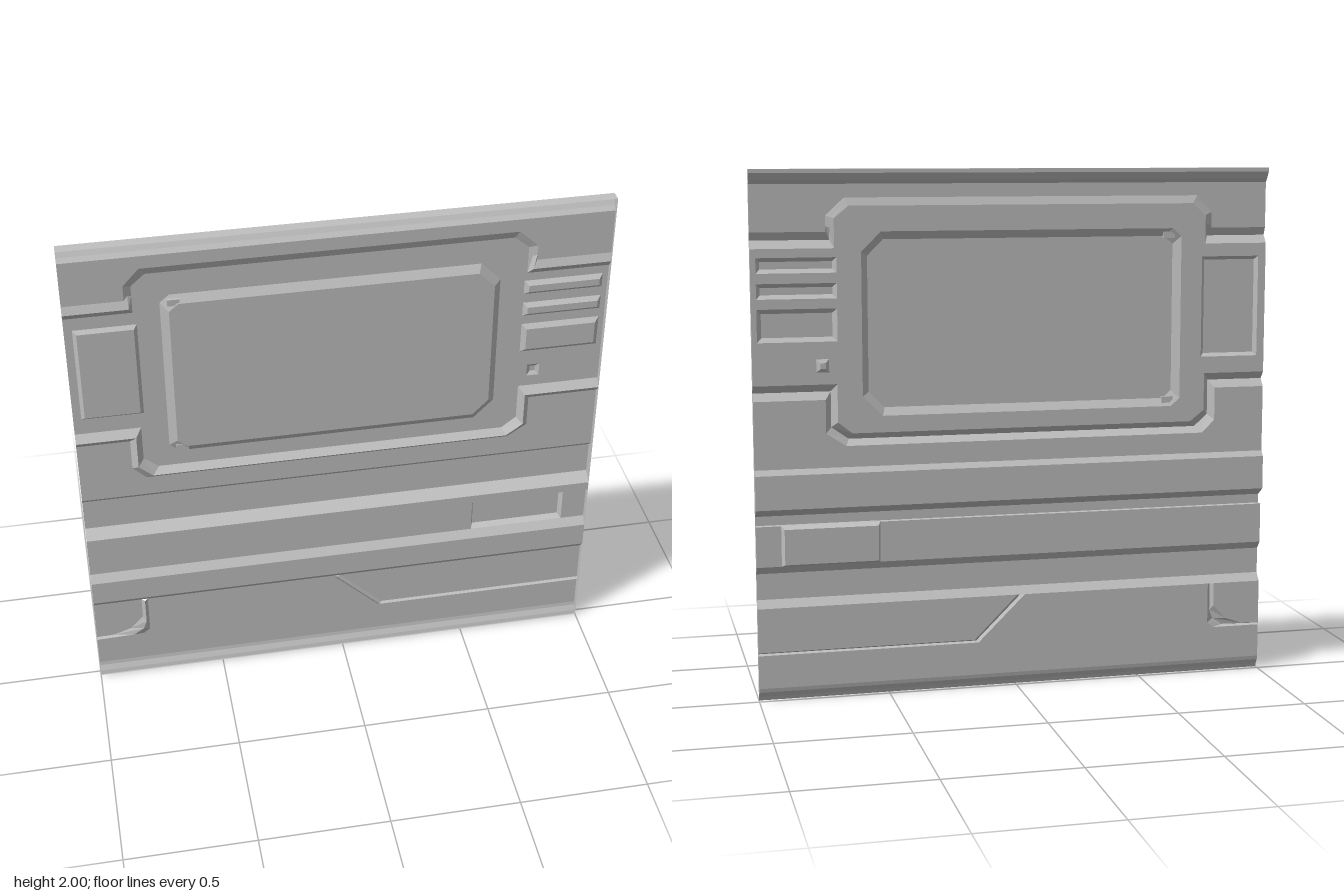
import * as THREE from 'three';

const FRONT = 0.025; // foremost plane of the pressed sheet

export function createModel() {
  const root = new THREE.Group();
  root.name = 'wallPanel';
  const metal = new THREE.MeshStandardMaterial({ color: 0xc0c0c0, side: THREE.DoubleSide, flatShading: true });
  metal.name = 'panelGrey';

  function add(name, geometry) {
    const mesh = new THREE.Mesh(geometry, metal);
    mesh.name = name;
    root.add(mesh);
    return mesh;
  }

  // Flat plate at depth z, with optional holes
  function plate(name, points, z, holes = []) {
    const toV = list => list.map(p => new THREE.Vector2(p[0], p[1]));
    const shape = new THREE.Shape(toV(points));
    holes.forEach(h => shape.holes.push(new THREE.Path(toV(h))));
    return add(name, new THREE.ShapeGeometry(shape).translate(0, 0, z));
  }

  // Surface through a row of 3D paths with equal point counts
  function loft(name, paths, closed = false) {
    const pos = [];
    for (let r = 0; r + 1 < paths.length; r++) {
      const a = paths[r], b = paths[r + 1], n = a.length;
      for (let i = 0; i < (closed ? n : n - 1); i++) {
        const j = (i + 1) % n;
        pos.push(...a[i], ...b[i], ...b[j], ...a[i], ...b[j], ...a[j]);
      }
    }
    const g = new THREE.BufferGeometry();
    g.setAttribute('position', new THREE.Float32BufferAttribute(pos, 3));
    g.computeVertexNormals();
    return add(name, g);
  }

  const at = (path, z) => path.map(p => [p[0], p[1], z]);
  const middle = (a, b, z) => a.map((p, i) => [(p[0] + b[i][0]) / 2, (p[1] + b[i][1]) / 2, z]);
  const rect = (x0, x1, y0, y1) => [[x0, y0], [x1, y0], [x1, y1], [x0, y1]];

  // Bevelled pocket: sloping walls and a floor
  function pocket(name, outer, inner, z) {
    loft(name + 'Bevel', [at(outer, 0), at(inner, z)], true);
    plate(name + 'Floor', inner, z);
  }
  function rectPocket(name, x0, x1, y0, y1, bevel, z) {
    const outer = rect(x0, x1, y0, y1);
    pocket(name, outer, rect(x0 + bevel, x1 - bevel, y0 + bevel, y1 - bevel), z);
    return outer;
  }

  // Full-width strips that follow a y,z profile
  const strips = (name, profile, x0 = -1, x1 = 1) =>
    loft(name, [profile.map(([y, z]) => [x0, y, z]), profile.map(([y, z]) => [x1, y, z])]);

  const topRim = [[2, FRONT], [2, -0.018], [1.985, -0.018], [1.96, -0.002], [1.945, 0.012]];
  const midRail = [[0.89, 0], [0.87, -0.018], [0.74, -0.018], [0.71, FRONT], [0.675, FRONT], [0.675, 0]];
  const lowRail = [[0.52, 0], [0.49, FRONT], [0.39, FRONT], [0.36, 0]];
  const bottomRim = [[0.05, 0], [0.035, 0.003], [0.015, 0.015], [0, 0.02], [0, FRONT]];
  strips('topRim', topRim);
  strips('middleRail', midRail);
  strips('lowerRail', lowRail);
  strips('bottomRim', bottomRim);

  // Upper frame edge, with a ridge at either side
  const upOuter = [[-1, 1.77], [-0.78, 1.77], [-0.78, 1.79], [-0.78, 1.83], [-0.72, 1.895],
    [0.65, 1.895], [0.72, 1.83], [0.72, 1.79], [0.72, 1.77], [1, 1.77]];
  const upInner = [[-1, 1.71], [-0.752, 1.71], [-0.752, 1.78], [-0.752, 1.82], [-0.7, 1.865],
    [0.635, 1.865], [0.69, 1.82], [0.69, 1.78], [0.69, 1.71], [1, 1.71]];
  const upMid = middle(upOuter, upInner, 0.006);
  [0, 1, 8, 9].forEach(i => { upMid[i][2] = FRONT; });
  loft('upperFrameEdge', [at(upOuter, 0.012), upMid, at(upInner, 0)]);
  plate('upperPanel', [[-1, 1.945], ...upOuter, [1, 1.945]], 0.012);

  // Lower frame ridge
  const lowInner = [[-1, 1.205], [-0.755, 1.205], [-0.755, 1.06], [-0.7, 1.017],
    [0.63, 1.017], [0.685, 1.06], [0.685, 1.205], [1, 1.205]];
  const lowOuter = [[-1, 1.147], [-0.8, 1.147], [-0.8, 1.02], [-0.75, 0.97],
    [0.655, 0.97], [0.73, 1.02], [0.73, 1.147], [1, 1.147]];
  loft('lowerFrameRidge', [at(lowInner, 0), middle(lowInner, lowOuter, FRONT), at(lowOuter, 0)]);
  plate('middlePanel', [...lowOuter, [1, 0.89], [-1, 0.89]], 0);

  // Large chamfered window pocket
  const windowOuter = [[-0.62, 1.77], [0.515, 1.77], [0.59, 1.695], [0.59, 1.155],
    [0.515, 1.08], [-0.62, 1.08], [-0.655, 1.11], [-0.655, 1.74]];
  const windowInner = [[-0.59, 1.74], [0.505, 1.74], [0.565, 1.68], [0.565, 1.17],
    [0.505, 1.11], [-0.59, 1.11], [-0.625, 1.14], [-0.625, 1.71]];
  pocket('window', windowOuter, windowInner, 0.02);
  for (const y of [1.745, 1.105]) {
    const step = add('windowCornerStep', new THREE.BoxGeometry(0.045, 0.025, 0.012));
    step.position.set(-0.607, y, 0.012);
  }

  // Small pockets and the stud beside the window
  const holes = [
    windowOuter,
    rectPocket('leftHatch', -0.97, -0.74, 1.27, 1.66, 0.013, 0.014),
    rectPocket('upperSlot', 0.682, 0.98, 1.62, 1.677, 0.015, 0.015),
    rectPocket('middleSlot', 0.682, 0.98, 1.525, 1.582, 0.015, 0.015),
    rectPocket('lowerSlot', 0.682, 0.98, 1.365, 1.488, 0.017, 0.015),
    rectPocket('stud', 0.715, 0.763, 1.25, 1.3, 0.014, -0.01),
  ];
  plate('framePanel', [...upInner, ...lowInner.slice().reverse()], 0, holes);

  // Rail face with a raised box set into it
  plate('railFaceWide', rect(-1, 0.53, 0.52, 0.675), 0);
  plate('railFaceNarrow', rect(0.905, 1, 0.52, 0.675), 0);
  rectPocket('railBox', 0.53, 0.905, 0.52, 0.675, 0.01, -0.025);

  // Skirt panel, divided by two creased grooves
  const grooveOut = [[-0.035, 0.36], [0.15, 0.178], [1, 0.178]];
  const grooveIn = [[-0.005, 0.36], [0.165, 0.19], [1, 0.19]];
  loft('skirtGroove', [at(grooveOut, 0), middle(grooveOut, grooveIn, 0.01), at(grooveIn, 0)]);
  plate('skirtInset', [...grooveIn, [1, 0.36]], 0);

  const curveOut = [[-0.785, 0.36], [-0.785, 0.25], [-0.785, 0.2], [-0.81, 0.18], [-1, 0.18]];
  const curveMid = [[-0.797, 0.36], [-0.797, 0.25], [-0.81, 0.215], [-0.85, 0.188], [-1, 0.184]];
  const curveIn = [[-0.81, 0.36], [-0.81, 0.27], [-0.86, 0.215], [-0.93, 0.19], [-1, 0.188]];
  loft('curvedGroove', [at(curveOut, 0), at(curveMid, 0.012), at(curveIn, 0)]);
  plate('curvedInset', [...curveIn, [-1, 0.36]], 0);
  plate('skirt', [[-1, 0.05], [1, 0.05], ...grooveOut.slice().reverse(), ...curveOut], 0);

  // Side edges fill from the profile to the front plane
  const sideProfile = [...topRim, [1.77, 0.012], [1.74, FRONT], [1.71, 0],
    [1.205, 0], [1.176, FRONT], [1.147, 0], ...midRail, ...lowRail, ...bottomRim];
  for (const x of [-1, 1]) {
    loft(x > 0 ? 'leftEdge' : 'rightEdge',
      [sideProfile.map(([y, z]) => [x, y, z]), sideProfile.map(([y]) => [x, y, FRONT])]);
  }
  return root;
}
